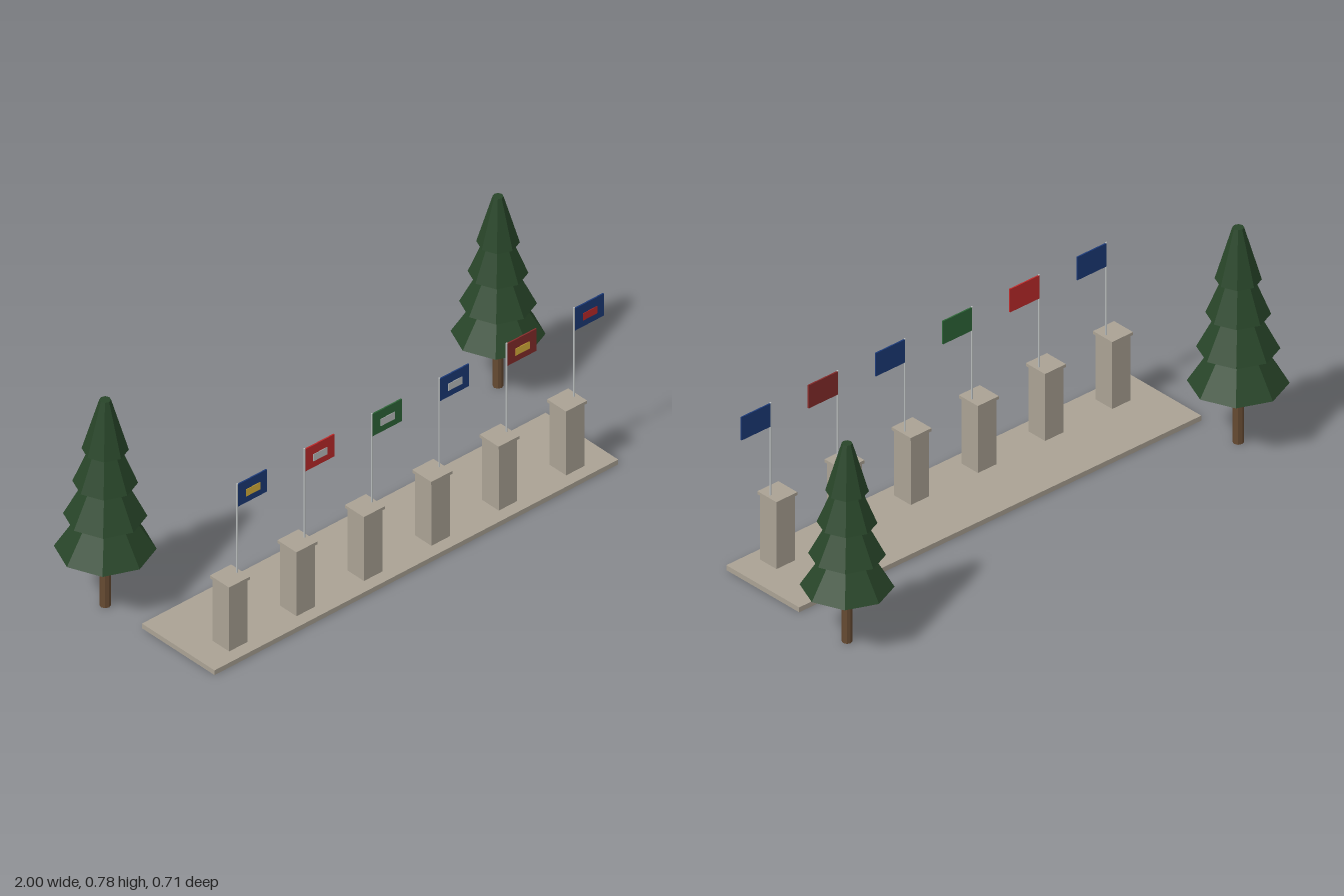
import * as THREE from 'three';

const mat = (name, color) => {
  const m = new THREE.MeshStandardMaterial({ color });
  m.name = name;
  return m;
};

export function createModel() {
  const stone = mat('stone', 0xaaa294);
  const darkStone = mat('dark stone', 0x4e4e46);
  const bark = mat('bark', 0x664a32);
  const foliage = mat('foliage', 0x284529);
  const paleGrey = mat('pale grey', 0xbcc0c0);
  const blue = mat('blue', 0x1c3a78);
  const red = mat('red', 0xbe2a2a);
  const green = mat('green', 0x2e6638);
  const maroon = mat('maroon', 0x862c2b);
  const yellow = mat('yellow', 0xdcb43c);
  const model = new THREE.Group();
  model.name = 'flagPlaza';

  const add = (parent, name, geometry, material, x, y, z) => {
    const mesh = new THREE.Mesh(geometry, material);
    mesh.name = name;
    mesh.position.set(x, y, z);
    parent.add(mesh);
    return mesh;
  };

  // Paved base with a dark underside (box faces: right, left, top, bottom, front, back)
  const baseFaces = [stone, stone, stone, darkStone, stone, stone];
  add(model, 'base', new THREE.BoxGeometry(1.686, 0.018, 0.337), baseFaces, 0.005, 0.009, 0.187);

  // Pillars, each with a cap, a pole and a flag
  const shaftGeo = new THREE.BoxGeometry(0.077, 0.238, 0.077);
  const capGeo = new THREE.BoxGeometry(0.088, 0.011, 0.088);
  const poleGeo = new THREE.CylinderGeometry(0.003, 0.003, 0.338, 8);
  const flagGeo = new THREE.BoxGeometry(0.122, 0.084, 0.005);
  const emblemGeo = new THREE.BoxGeometry(0.059, 0.027, 0.003);
  const flags = [[blue, yellow], [red, paleGrey], [green, paleGrey], [blue, paleGrey], [maroon, yellow], [blue, red]];
  flags.forEach(([cloth, emblem], i) => {
    const post = new THREE.Group();
    post.name = 'flagPost' + (i + 1);
    post.position.set(-0.698 + i * 0.2815, 0, 0.272);
    add(post, 'pillar', shaftGeo, stone, 0, 0.137, 0);
    add(post, 'pillarCap', capGeo, stone, 0, 0.2615, 0);
    add(post, 'pole', poleGeo, paleGrey, 0.029, 0.436, 0);
    add(post, 'flag', flagGeo, cloth, 0.091, 0.56, 0);
    add(post, 'flagEmblem', emblemGeo, emblem, 0.093, 0.555, 0.0025);
    model.add(post);
  });

  // Conifers: a trunk and four overlapping eight-sided tiers
  const tree = (name, x, z, scale) => {
    const group = new THREE.Group();
    group.name = name;
    group.position.set(x, 0, z);
    group.scale.setScalar(scale);
    const trunkGeo = new THREE.CylinderGeometry(0.0185, 0.0185, 0.25, 8).toNonIndexed();
    trunkGeo.computeVertexNormals();
    add(group, 'trunk', trunkGeo, bark, 0, 0.125, 0);
    for (let i = 0; i < 4; i++) {
      const r = 0.16 - i * 0.0288;
      const tierGeo = new THREE.CylinderGeometry(r * 0.25, r, 0.188, 8).toNonIndexed();
      tierGeo.computeVertexNormals();
      add(group, 'foliageTier' + (i + 1), tierGeo, foliage, 0, 0.314 + i * 0.125, 0);
    }
    model.add(group);
  };
  tree('tallTree', -0.839, -0.151, 1);
  tree('shortTree', 0.852, -0.207, 0.923);

  return model;
}
